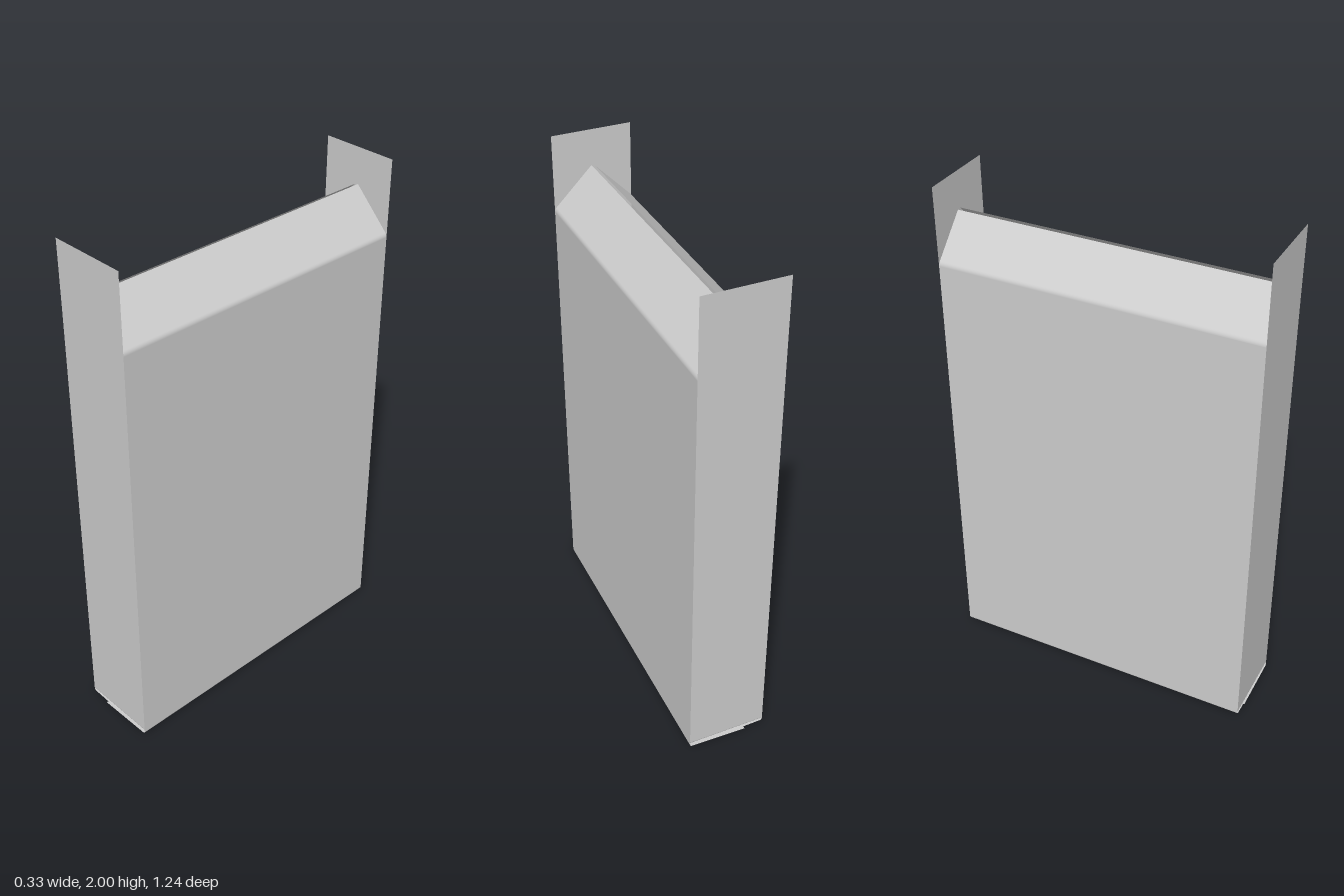
import * as THREE from 'three';

const HALF_W = 0.155;   // half thickness of the carton
const HALF_D = 0.617;   // half length of the carton
const FOLD = 1.71;      // height of the top crease

// Bent cardboard sheet: a polyline [out, y] with softened creases, swept sideways.
// Local +x points outward, the sweep runs along z.
function bentSheet(name, pts, halfSpan, material) {
  const path = new THREE.Path();
  path.moveTo(...pts[0]);
  const v = pts.map((p) => new THREE.Vector2(...p));
  for (let i = 1; i < v.length - 1; i++) {
    const before = v[i].clone().add(v[i - 1].clone().sub(v[i]).setLength(0.01));
    const after = v[i].clone().add(v[i + 1].clone().sub(v[i]).setLength(0.01));
    path.lineTo(before.x, before.y);
    path.quadraticCurveTo(v[i].x, v[i].y, after.x, after.y);
  }
  path.lineTo(...pts[pts.length - 1]);

  const line = path.getPoints(5);
  const position = [], index = [];
  line.forEach((p, i) => {
    position.push(p.x, p.y, halfSpan, p.x, p.y, -halfSpan);
    if (i > 0) {
      const a = 2 * (i - 1);
      index.push(a, a + 1, a + 2, a + 1, a + 3, a + 2);
    }
  });
  const geometry = new THREE.BufferGeometry();
  geometry.setAttribute('position', new THREE.Float32BufferAttribute(position, 3));
  geometry.setIndex(index);
  geometry.computeVertexNormals();
  const mesh = new THREE.Mesh(geometry, material);
  mesh.name = name;
  return mesh;
}

export function createModel() {
  const group = new THREE.Group();
  group.name = 'openCarton';
  const card = new THREE.MeshStandardMaterial({ color: 0xcccccc, side: THREE.DoubleSide });

  // Left side: long outer bottom flap, wall, half-closed top flap
  const left = bentSheet('leftPanel',
    [[-0.08, 0], [HALF_W, 0.008], [HALF_W, FOLD], [0.003, 1.86]], HALF_D, card);

  // Right side: inner bottom flap tucked above the outer one
  const right = bentSheet('rightPanel',
    [[0.0, 0.012], [HALF_W, 0.016], [HALF_W, FOLD], [0.01, 1.857]], HALF_D, card);
  right.rotation.y = Math.PI;
  group.add(left, right);

  // Ends: dust flap folded in at the bottom, wall, top flap standing upright
  for (const [name, turn] of [['frontPanel', -Math.PI / 2], ['backPanel', Math.PI / 2]]) {
    const end = bentSheet(name,
      [[0.39, 0.024], [HALF_D, 0.022], [HALF_D, FOLD], [HALF_D + 0.001, 2]], HALF_W, card);
    end.rotation.y = turn;
    group.add(end);
  }

  // The carton stands slightly turned
  group.rotation.y = 0.018;
  return group;
}
